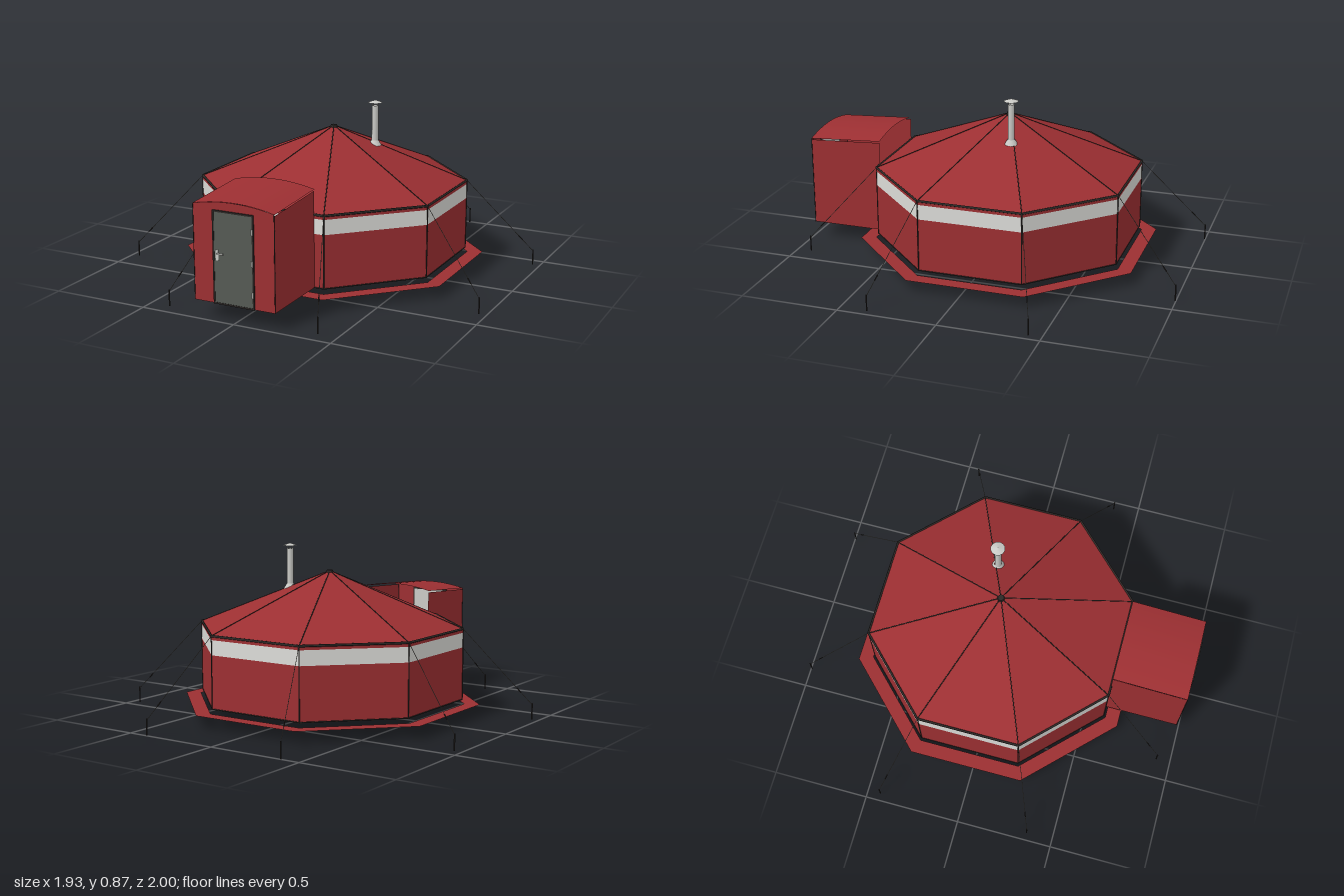
import * as THREE from 'three';

const mat = (name, color, side = THREE.FrontSide) => {
  const m = new THREE.MeshStandardMaterial({ color, side });
  m.name = name;
  return m;
};

export function createModel() {
  const model = new THREE.Group();
  model.name = 'tent';
  const red = mat('red canvas', 0x9c2f32, THREE.DoubleSide);
  const white = mat('pale band', 0xdcdcd8, THREE.DoubleSide);
  const dark = mat('dark trim', 0x2c2826);
  const doorGrey = mat('door grey', 0x555a54);
  const metal = mat('light metal', 0xcacac6, THREE.DoubleSide);
  const wood = mat('floor brown', 0x866848);
  const ropeMat = mat('rope', 0x6a665e);

  const add = (parent, name, geo, material, x = 0, y = 0, z = 0) => {
    const m = new THREE.Mesh(geo, material);
    m.name = name;
    m.position.set(x, y, z);
    parent.add(m);
    return m;
  };
  const box = (parent, name, material, w, h, d, x, y, z) =>
    add(parent, name, new THREE.BoxGeometry(w, h, d), material, x, y, z);
  // thin round bar between two points
  const rod = (parent, name, a, b, r, material) => {
    const dir = b.clone().sub(a);
    const m = add(parent, name, new THREE.CylinderGeometry(r, r, dir.length(), 6), material);
    m.position.copy(a).add(b).multiplyScalar(0.5);
    m.quaternion.setFromUnitVectors(new THREE.Vector3(0, 1, 0), dir.normalize());
    return m;
  };

  // ---- eight-sided body, centred slightly behind the origin
  const body = new THREE.Group();
  body.name = 'body';
  body.position.z = -0.035;
  model.add(body);
  const N = 8, START = Math.PI / 8, K = 1 / Math.cos(Math.PI / 8);
  const R = 0.635 * K;
  const corner = (i, r, y) => {
    const a = START + (i * Math.PI * 2) / N;
    return new THREE.Vector3(Math.sin(a) * r, y, Math.cos(a) * r);
  };
  const ring8 = (name, rTop, rBottom, y0, y1, material) => {
    const g = new THREE.CylinderGeometry(rTop, rBottom, y1 - y0, N, 1, true, START).toNonIndexed();
    g.computeVertexNormals();
    add(body, name, g, material, 0, (y0 + y1) / 2, 0);
  };
  ring8('lowerWall', R, R, 0.085, 0.355, red);
  ring8('wallBand', R, R, 0.355, 0.43, white);
  ring8('upperWall', R, R, 0.43, 0.45, red);
  ring8('roof', 0.012, R, 0.45, 0.725, red);
  add(body, 'floor', new THREE.CylinderGeometry(R - 0.002, R - 0.002, 0.008, N, 1, false, START), wood, 0, 0.087, 0);
  add(body, 'roofCap', new THREE.CylinderGeometry(0.016, 0.02, 0.014, 12), dark, 0, 0.726, 0);

  // ground flap lying around the walls
  const flap = new THREE.RingGeometry(0.645 * K, 0.718 * K, N, 1, START);
  flap.rotateX(-Math.PI / 2);
  add(body, 'groundFlap', flap, red, 0, 0.064, 0);

  // trims, guy ropes and stakes at every corner
  for (let i = 0; i < N; i++) {
    const eave = corner(i, R, 0.45);
    rod(body, 'eaveTrim', eave, corner(i + 1, R, 0.45), 0.006, dark);
    rod(body, 'baseTrim', corner(i, R, 0.087), corner(i + 1, R, 0.087), 0.003, dark);
    rod(body, 'cornerSeam', corner(i, R, 0.085), eave, 0.003, dark);
    rod(body, 'roofSeam', eave, corner(i, 0.012, 0.725), 0.0025, dark);
    const peg = corner(i, 1.04, 0.075);
    rod(body, 'guyRope', eave, peg, 0.0015, ropeMat);
    rod(body, 'ropeTensioner', eave.clone().lerp(peg, 0.78), eave.clone().lerp(peg, 0.84), 0.003, dark);
    rod(body, 'stake', corner(i, 1.04, 0), corner(i, 1.04, 0.082), 0.0035, dark);
  }

  // ---- stove pipe
  const pipe = new THREE.Group();
  pipe.name = 'stovePipe';
  pipe.position.set(0.2, 0, -0.105);
  model.add(pipe);
  add(pipe, 'flue', new THREE.CylinderGeometry(0.017, 0.017, 0.21, 16, 1, true), metal, 0, 0.735, 0);
  add(pipe, 'flashing', new THREE.CylinderGeometry(0.018, 0.034, 0.026, 16, 1, true), metal, 0, 0.645, 0);
  add(pipe, 'rainCap', new THREE.ConeGeometry(0.037, 0.013, 12), metal, 0, 0.861, 0);
  for (const s of [-1, 1]) box(pipe, 'capStrut', metal, 0.003, 0.02, 0.003, s * 0.015, 0.848, 0);

  // ---- entrance porch, open at the back and bottom
  const porch = new THREE.Group();
  porch.name = 'porch';
  model.add(porch);
  const W = 0.213, BACK = 0.6, FRONT = 0.985, Y0 = 0.085;

  // front panel with arched top and door opening
  const front = new THREE.Shape();
  front.moveTo(-W, Y0);
  front.lineTo(-0.108, Y0);
  front.lineTo(-0.108, 0.535);
  front.lineTo(0.108, 0.535);
  front.lineTo(0.108, Y0);
  front.lineTo(W, Y0);
  front.lineTo(W, 0.553);
  front.quadraticCurveTo(0, 0.601, -W, 0.553);
  add(porch, 'porchFront', new THREE.ShapeGeometry(front, 12), red, 0, 0, FRONT);

  // side walls, stopping just below the roof
  const side = new THREE.Shape();
  side.moveTo(-FRONT, Y0);
  side.lineTo(-BACK, Y0);
  side.lineTo(-BACK, 0.566);
  side.lineTo(-FRONT, 0.545);
  const sideGeo = new THREE.ShapeGeometry(side).rotateY(Math.PI / 2);
  for (const s of [-1, 1]) {
    add(porch, 'porchSide', sideGeo, red, s * W, 0, 0);
    rod(porch, 'porchEdge', new THREE.Vector3(s * W, Y0, FRONT), new THREE.Vector3(s * W, 0.55, FRONT), 0.002, dark);
  }

  // arched roof sloping down to the front
  const top = new THREE.PlaneGeometry(2 * W + 0.004, FRONT - BACK, 14, 1);
  top.rotateX(-Math.PI / 2).translate(0, 0, (FRONT + BACK) / 2);
  const p = top.attributes.position;
  for (let i = 0; i < p.count; i++) {
    const t = (p.getZ(i) - BACK) / (FRONT - BACK);
    p.setY(i, 0.575 - 0.022 * t + 0.025 * (1 - (p.getX(i) / W) ** 2));
  }
  top.computeVertexNormals();
  add(porch, 'porchRoof', top, red);

  // door with frame, pale inner face, handle and hinges
  box(porch, 'door', doorGrey, 0.2, 0.436, 0.008, 0, 0.31, FRONT + 0.001);
  box(porch, 'doorInside', metal, 0.2, 0.436, 0.006, 0, 0.31, FRONT - 0.006);
  for (const s of [-1, 1]) box(porch, 'doorJamb', dark, 0.008, 0.45, 0.014, s * 0.104, 0.31, FRONT);
  box(porch, 'doorLintel', dark, 0.216, 0.008, 0.014, 0, 0.532, FRONT);
  box(porch, 'doorSill', dark, 0.216, 0.008, 0.014, 0, 0.088, FRONT);
  box(porch, 'handlePlate', metal, 0.014, 0.05, 0.004, -0.084, 0.322, FRONT + 0.006);
  box(porch, 'handleLever', metal, 0.036, 0.007, 0.006, -0.068, 0.33, FRONT + 0.011);
  for (const y of [0.155, 0.305, 0.455]) box(porch, 'hinge', metal, 0.008, 0.028, 0.008, 0.1, y, FRONT + 0.006);

  return model;
}
